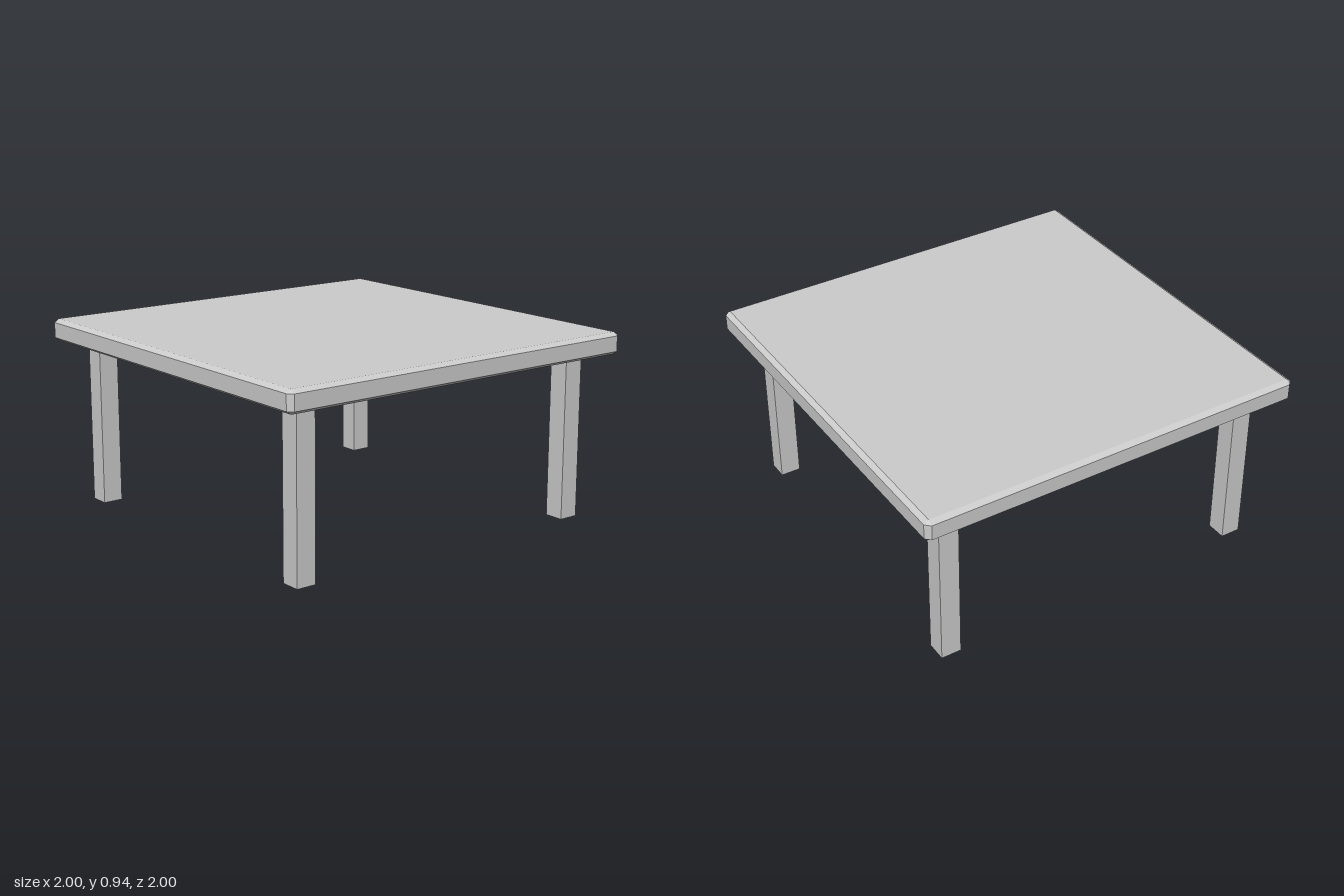
import * as THREE from 'three';
import { ConvexGeometry } from 'three/addons/geometries/ConvexGeometry.js';

const material = new THREE.MeshStandardMaterial({ color: 0xcccccc, flatShading: true });

// Box with every edge cut by a single flat chamfer, from its half sizes and insets
function chamferedBox(half, inset) {
  const points = [];
  for (const sx of [-1, 1]) for (const sy of [-1, 1]) for (const sz of [-1, 1]) {
    for (let full = 0; full < 3; full++) {
      const [x, y, z] = half.map((h, axis) => (axis === full ? h : h - inset[axis]));
      points.push(new THREE.Vector3(sx * x, sy * y, sz * z));
    }
  }
  return new ConvexGeometry(points);
}

export function createModel() {
  const table = new THREE.Group();
  table.name = 'table';

  const topHeight = 0.938, topBottom = 0.827;
  const legWidth = 0.102, legOffset = 0.817;

  // Square tabletop with chamfered edges
  const halfThickness = (topHeight - topBottom) / 2;
  const tabletop = new THREE.Mesh(
    chamferedBox([1, halfThickness, 1], [0.025, 0.017, 0.025]), material);
  tabletop.name = 'tabletop';
  tabletop.position.y = topBottom + halfThickness;
  table.add(tabletop);

  // Four square legs
  const legGeometry = new THREE.BoxGeometry(legWidth, topBottom, legWidth);
  for (const [endName, sz] of [['front', 1], ['back', -1]]) {
    for (const [sideName, sx] of [['Left', 1], ['Right', -1]]) {
      const leg = new THREE.Mesh(legGeometry, material);
      leg.name = `${endName}${sideName}Leg`;
      leg.position.set(sx * legOffset, topBottom / 2, sz * legOffset);
      table.add(leg);
    }
  }
  return table;
}
